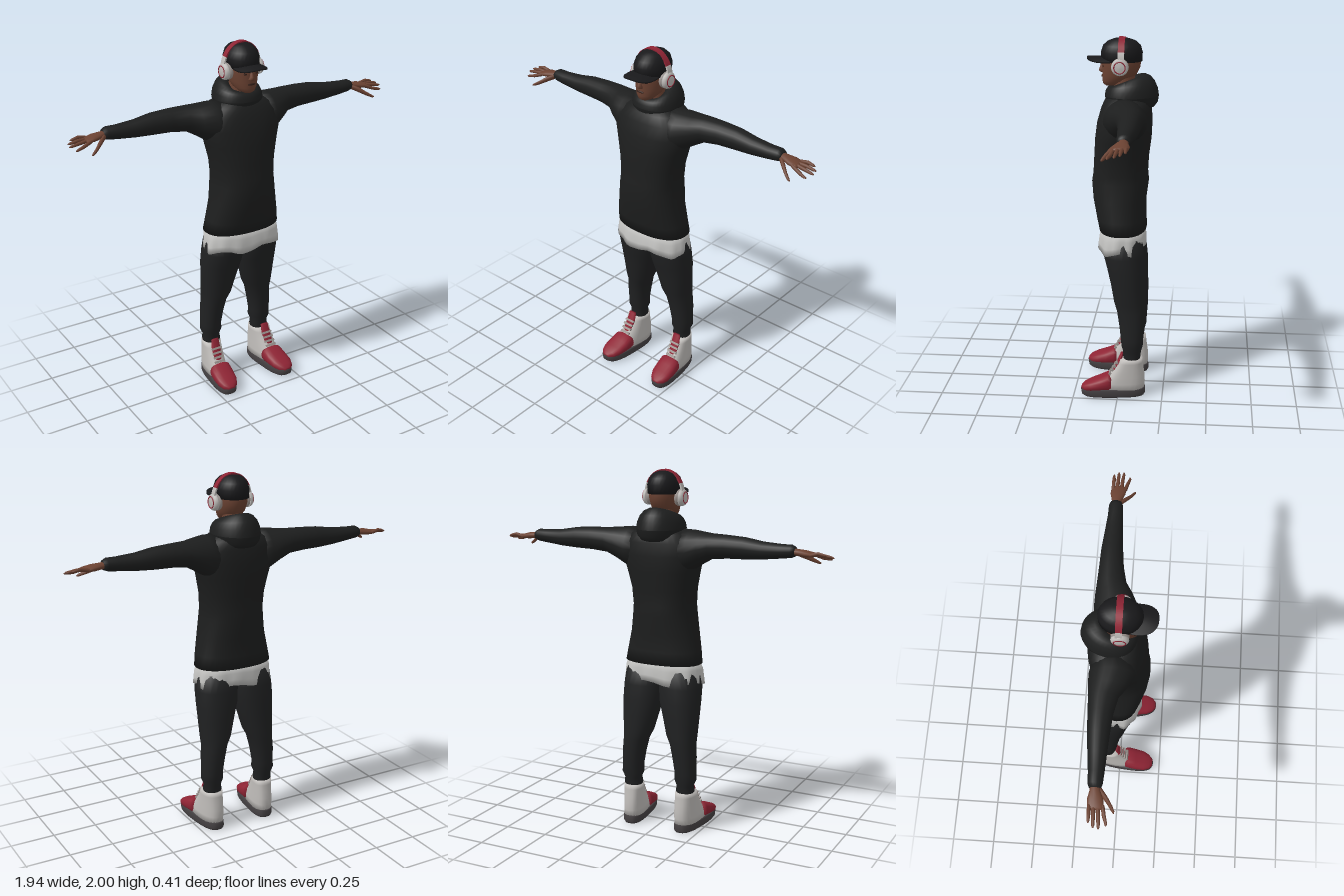
import * as THREE from 'three';

const paint = (name, color) => {
  const m = new THREE.MeshStandardMaterial({ color });
  m.name = name;
  return m;
};

// Skin over oval sections. Each row is [t, a0, a1, b0, b1]: the place along the
// axis (rising) and the extents across it. p < 1 makes the ovals squarer.
const ACROSS = { y: ['x', 'z'], x: ['z', 'y'], z: ['y', 'x'] };
function loft(axis, rows, n = 20, p = 1) {
  const [A, B] = ACROSS[axis], pos = [], idx = [], v = new THREE.Vector3();
  const round = (c) => Math.sign(c) * Math.abs(c) ** p;
  const put = (t, a, b) => { v[axis] = t; v[A] = a; v[B] = b; pos.push(v.x, v.y, v.z); };
  for (const [t, a0, a1, b0, b1] of rows) {
    for (let k = 0; k < n; k++) {
      const u = (k / n) * Math.PI * 2;
      put(t, (a0 + a1) / 2 + ((a1 - a0) / 2) * round(Math.cos(u)),
        (b0 + b1) / 2 + ((b1 - b0) / 2) * round(Math.sin(u)));
    }
  }
  const last = rows.length - 1, end = rows.length * n;
  for (const [t, a0, a1, b0, b1] of [rows[0], rows[last]]) put(t, (a0 + a1) / 2, (b0 + b1) / 2);
  for (let k = 0; k < n; k++) {
    const j = (k + 1) % n;
    for (let i = 0; i < last; i++) {
      const a = i * n + k, b = i * n + j;
      idx.push(a, a + n, b, b, a + n, b + n);
    }
    idx.push(end, k, j, end + 1, last * n + j, last * n + k);
  }
  const g = new THREE.BufferGeometry();
  g.setAttribute('position', new THREE.Float32BufferAttribute(pos, 3));
  g.setIndex(idx);
  g.computeVertexNormals();
  return g;
}

// Move every vertex by a rule
function warp(g, rule) {
  const P = g.attributes.position, v = new THREE.Vector3();
  for (let i = 0; i < P.count; i++) {
    rule(v.fromBufferAttribute(P, i));
    P.setXYZ(i, v.x, v.y, v.z);
  }
  g.computeVertexNormals();
  return g;
}

// Flip to the other side in x, keeping the faces outward
function mirror(g) {
  const m = g.index ? g.clone().toNonIndexed() : g.clone();
  m.scale(-1, 1, 1);
  for (const a of Object.values(m.attributes)) {
    const s = a.itemSize;
    for (let i = 0; i < a.count; i += 3) {
      for (let c = 0; c < s; c++) {
        const q = a.array[(i + 1) * s + c];
        a.array[(i + 1) * s + c] = a.array[(i + 2) * s + c];
        a.array[(i + 2) * s + c] = q;
      }
    }
  }
  return m;
}

export function createModel() {
  const model = new THREE.Group();
  const hoodieBlack = paint('hoodie black', 0x1d1e1e), trouserBlack = paint('trouser black', 0x202122);
  const capBlack = paint('cap black', 0x19191b), skin = paint('skin', 0x6b4232);
  const red = paint('red', 0x8e2434), shirtWhite = paint('shirt white', 0xc4c4c2);
  const shoeWhite = paint('shoe white', 0xbfbcb9), soleGrey = paint('sole grey', 0x454143);
  const laceGrey = paint('lace grey', 0x9a928e), darkBrown = paint('dark brown', 0x38221b);

  const add = (name, g, mat) => {
    const m = new THREE.Mesh(g, mat);
    m.name = name;
    model.add(m);
  };
  const addPair = (name, g, mat) => {
    add(name + 'Left', g, mat);
    add(name + 'Right', mirror(g), mat);
  };

  // Hoodie body
  add('hoodieBody', loft('y', [
    [0.95, -0.222, 0.222, -0.145, 0.115], [1.02, -0.21, 0.21, -0.142, 0.13],
    [1.12, -0.19, 0.19, -0.142, 0.148], [1.22, -0.176, 0.176, -0.155, 0.156],
    [1.27, -0.173, 0.173, -0.15, 0.148], [1.36, -0.18, 0.18, -0.155, 0.143],
    [1.46, -0.203, 0.203, -0.168, 0.137], [1.55, -0.23, 0.23, -0.172, 0.125],
    [1.62, -0.215, 0.215, -0.166, 0.105], [1.665, -0.17, 0.17, -0.155, 0.085],
    [1.7, -0.1, 0.1, -0.12, 0.06],
  ], 32, 0.85), hoodieBlack);

  // Sleeves
  addPair('sleeve', loft('x', [
    [0.1, -0.14, 0.08, 1.45, 1.69], [0.18, -0.155, 0.08, 1.465, 1.69],
    [0.25, -0.152, 0.045, 1.51, 1.684], [0.31, -0.147, 0.005, 1.543, 1.68],
    [0.4, -0.142, -0.015, 1.553, 1.678], [0.5, -0.138, -0.025, 1.556, 1.672],
    [0.6, -0.128, -0.032, 1.562, 1.655], [0.7, -0.118, -0.038, 1.573, 1.648],
    [0.755, -0.116, -0.042, 1.58, 1.648], [0.775, -0.108, -0.05, 1.588, 1.638],
  ], 20), hoodieBlack);

  // Hood: a ring round the neck, low in front and full behind
  const hood = new THREE.TorusGeometry(1, 0.5, 14, 36).rotateX(-Math.PI / 2);
  add('hood', warp(hood, (v) => {
    const a = Math.atan2(v.z, v.x), t = Math.hypot(v.x, v.z) - 1, back = (1 - Math.sin(a)) / 2;
    const wide = 0.07 + 0.05 * back, tall = 0.1 + 0.075 * back;
    v.set(Math.cos(a) * (0.085 + t * wide),
      1.69 + 0.025 * back + v.y * tall - t * 0.05 * back,
      -0.03 + Math.sin(a) * (0.08 + 0.035 * back + t * wide));
  }), hoodieBlack);

  // Long shirt hem with folds
  add('shirtHem', warp(loft('y', [
    [0.845, -0.225, 0.225, -0.142, 0.12], [0.88, -0.223, 0.223, -0.14, 0.118],
    [0.92, -0.22, 0.22, -0.14, 0.113], [0.965, -0.205, 0.205, -0.13, 0.1],
  ], 64, 0.8), (v) => {
    const a = Math.atan2(v.z * 1.6, v.x), low = (0.965 - v.y) / 0.12;
    const s = 1 + low * 0.025 * Math.sin(13 * a + 1) + low * 0.018 * Math.sin(7 * a);
    v.x *= s;
    v.z *= s;
    v.y += low * 0.012 * Math.sin(5 * a + 2);
  }), shirtWhite);

  // Trouser legs
  addPair('trouserLeg', loft('y', [
    [0.2, 0.12, 0.207, -0.12, -0.035], [0.235, 0.11, 0.215, -0.125, -0.028],
    [0.265, 0.117, 0.21, -0.128, -0.028], [0.3, 0.103, 0.226, -0.138, -0.018],
    [0.34, 0.106, 0.222, -0.14, -0.015], [0.42, 0.093, 0.222, -0.146, -0.005],
    [0.5, 0.075, 0.216, -0.148, 0.008], [0.55, 0.05, 0.219, -0.15, 0.025],
    [0.65, 0.023, 0.225, -0.146, 0.043], [0.74, -0.002, 0.229, -0.146, 0.064],
    [0.82, -0.012, 0.228, -0.138, 0.085], [0.92, -0.012, 0.215, -0.125, 0.09],
  ], 22, 0.9), trouserBlack);

  // Shoes, turned slightly outward
  const shoe = (name, g, mat) => addPair(name, warp(g, (v) => { v.x += 0.172 + 0.1 * v.z; }), mat);
  shoe('shoeSole', loft('y', [
    [0, -0.056, 0.056, -0.145, 0.19], [0.012, -0.063, 0.063, -0.152, 0.205],
    [0.042, -0.063, 0.063, -0.152, 0.21], [0.048, -0.058, 0.058, -0.147, 0.2],
  ], 32, 0.72), soleGrey);
  shoe('shoeUpper', loft('y', [
    [0.035, -0.059, 0.059, -0.146, 0.1], [0.08, -0.058, 0.058, -0.15, 0.085],
    [0.12, -0.056, 0.056, -0.149, 0.055], [0.16, -0.054, 0.054, -0.143, 0.025],
    [0.2, -0.053, 0.053, -0.138, 0.0], [0.225, -0.053, 0.053, -0.135, -0.01],
  ], 24, 0.8), shoeWhite);
  shoe('shoeToe', loft('z', [
    [0.035, 0.035, 0.12, -0.058, 0.058], [0.055, 0.03, 0.132, -0.063, 0.063],
    [0.1, 0.03, 0.11, -0.064, 0.064], [0.15, 0.03, 0.09, -0.06, 0.06],
    [0.185, 0.03, 0.074, -0.045, 0.045], [0.205, 0.035, 0.058, -0.02, 0.02],
  ], 20, 0.8), red);
  shoe('shoeTongue', loft('y', [
    [0.12, -0.028, 0.028, 0.02, 0.05], [0.2, -0.028, 0.028, -0.02, 0.008],
    [0.25, -0.024, 0.024, -0.03, -0.012],
  ], 12), red);
  for (let i = 0; i < 4; i++) {
    const lace = new THREE.BoxGeometry(0.062, 0.012, 0.012).rotateX(-0.6);
    shoe('lace', lace.translate(0, 0.135 + i * 0.022, 0.044 - i * 0.0135), laceGrey);
  }

  // Hands: palm, four fingers and thumb, each drawn through [x, y, z, radius]
  addPair('palm', loft('x', [
    [0.74, -0.1, -0.058, 1.597, 1.632], [0.79, -0.104, -0.05, 1.592, 1.627],
    [0.83, -0.113, -0.034, 1.588, 1.623], [0.868, -0.11, -0.03, 1.589, 1.613],
    [0.878, -0.1, -0.04, 1.594, 1.608],
  ], 14), skin);
  const digit = (name, pts) => addPair(name, loft('x',
    pts.map(([x, y, z, r]) => [x, z - r, z + r, y - r, y + r]), 8), skin);
  [[0.945, -0.1, 1.606], [0.966, -0.076, 1.597], [0.97, -0.05, 1.59], [0.95, -0.016, 1.578]]
    .forEach(([tip, z, y], i) => {
      const root = -0.1 + i * 0.021;
      digit('finger', [[0.855, 1.602, root, 0.01], [(0.86 + tip) / 2, y + 0.006, (root + z) / 2, 0.0098],
        [tip - 0.012, y, z, 0.0075], [tip, y - 0.002, z, 0.003]]);
    });
  digit('thumb', [[0.77, 1.607, -0.062, 0.014], [0.81, 1.588, -0.03, 0.015],
    [0.845, 1.566, -0.002, 0.011], [0.87, 1.553, 0.013, 0.008], [0.88, 1.549, 0.017, 0.003]]);

  // Neck and head
  add('neck', new THREE.CylinderGeometry(0.056, 0.062, 0.14, 18).translate(0, 1.74, -0.02), skin);
  add('head', loft('y', [
    [1.74, -0.022, 0.022, 0.035, 0.08], [1.75, -0.042, 0.042, 0.0, 0.094],
    [1.77, -0.06, 0.06, -0.045, 0.099], [1.8, -0.074, 0.074, -0.085, 0.099],
    [1.84, -0.081, 0.081, -0.104, 0.1], [1.88, -0.083, 0.083, -0.11, 0.101],
    [1.93, -0.078, 0.078, -0.1, 0.092],
  ], 28), skin);
  add('nose', loft('y', [
    [1.812, -0.014, 0.014, 0.08, 0.108], [1.82, -0.018, 0.018, 0.08, 0.119],
    [1.832, -0.012, 0.012, 0.08, 0.115], [1.865, -0.007, 0.007, 0.08, 0.103],
  ], 10), skin);
  const blob = (x, y, z, sx, sy, sz) => new THREE.SphereGeometry(1, 12, 8).scale(sx, sy, sz).translate(x, y, z);
  addPair('eye', blob(0.032, 1.848, 0.091, 0.012, 0.005, 0.004), darkBrown);
  addPair('eyebrow', blob(0.034, 1.866, 0.091, 0.02, 0.004, 0.005), darkBrown);
  add('mouth', blob(0, 1.792, 0.098, 0.024, 0.006, 0.005), darkBrown);

  // Cap with a curved brim
  add('capCrown', loft('y', [
    [1.872, -0.089, 0.089, -0.115, 0.106], [1.92, -0.091, 0.091, -0.117, 0.106],
    [1.955, -0.08, 0.08, -0.107, 0.094], [1.978, -0.06, 0.06, -0.082, 0.068],
    [1.99, -0.034, 0.034, -0.048, 0.036], [1.994, -0.008, 0.008, -0.014, 0.002],
  ], 28), capBlack);
  add('capBrim', warp(loft('y', [
    [1.886, -0.04, 0.04, 0.03, 0.12], [1.886, -0.082, 0.082, -0.02, 0.181],
    [1.894, -0.082, 0.082, -0.02, 0.181], [1.896, -0.04, 0.04, 0.03, 0.12],
  ], 32, 0.85), (v) => { v.y -= v.x * v.x * 2.5; }), capBlack);

  // Headphones: band over the cap, and a cup on each ear
  const band = (name, from, to, mat) => {
    const s = new THREE.Shape();
    s.absellipse(0, 1.865, 0.114, 0.135, from, to, false);
    s.absellipse(0, 1.865, 0.105, 0.127, to, from, true);
    add(name, new THREE.ExtrudeGeometry(s, { depth: 0.034, bevelEnabled: false, curveSegments: 20 })
      .translate(0, 0, -0.026), mat);
  };
  band('headband', 0.5, Math.PI - 0.5, red);
  band('headbandEndLeft', 0, 0.5, shoeWhite);
  band('headbandEndRight', Math.PI - 0.5, Math.PI, shoeWhite);
  const turned = (pts) => new THREE.LatheGeometry(pts.map(([r, h]) => new THREE.Vector2(r, h)), 24)
    .rotateZ(-Math.PI / 2).translate(0, 1.852, -0.003);
  addPair('earCushion', turned([[0, 0.07], [0.04, 0.07], [0.046, 0.08], [0.046, 0.09], [0.04, 0.098], [0, 0.098]]), laceGrey);
  addPair('earCup', turned([[0, 0.094], [0.044, 0.094], [0.046, 0.102], [0.042, 0.114], [0.032, 0.121], [0, 0.123]]), shoeWhite);
  addPair('earCupRing', new THREE.TorusGeometry(0.03, 0.003, 6, 24)
    .rotateY(Math.PI / 2).translate(0.121, 1.852, -0.003), red);

  return model;
}
